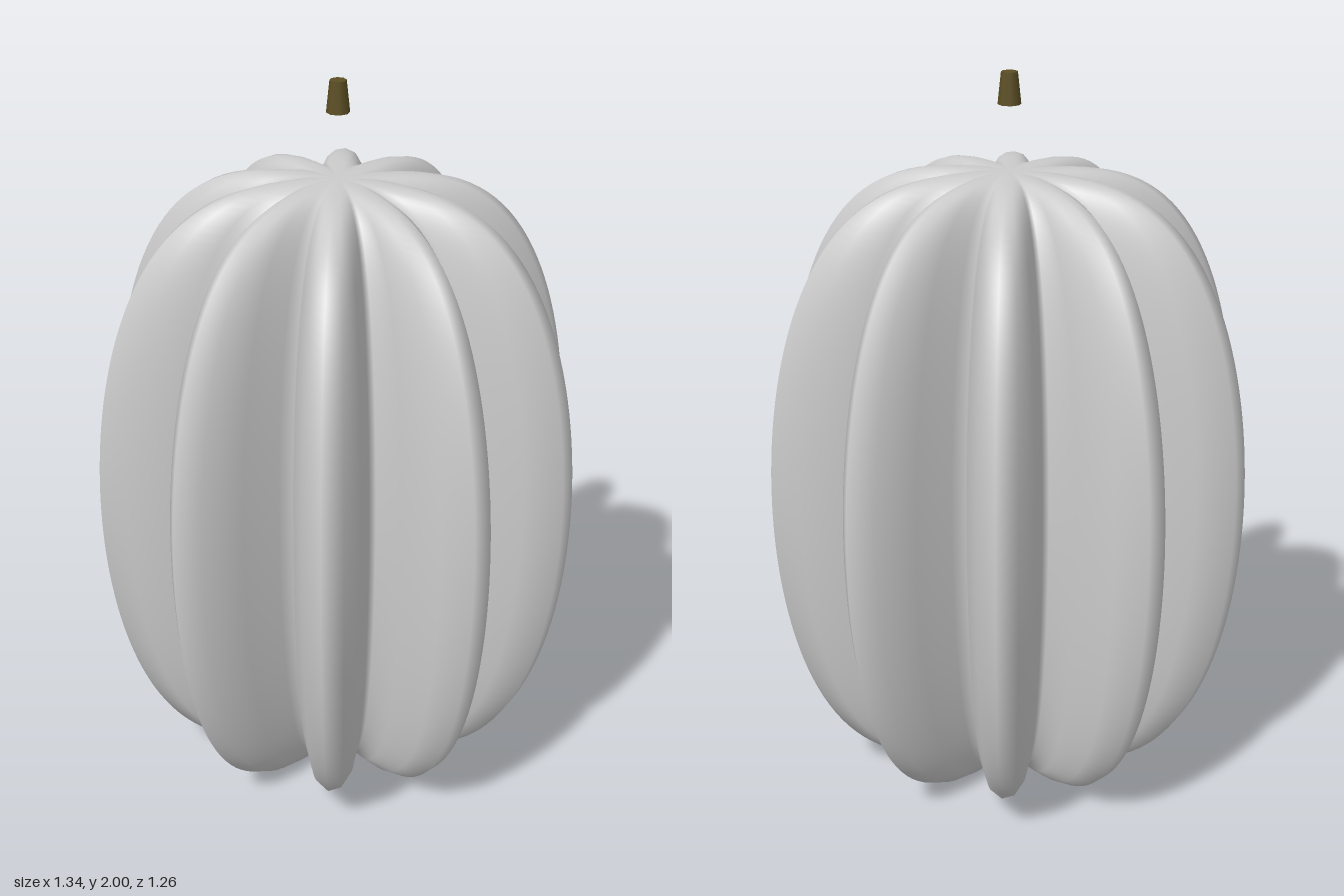
import * as THREE from 'three';
import { mergeVertices } from 'three/addons/utils/BufferGeometryUtils.js';

const LOBES = 10;
const VALLEY = 0.345; // radius in the grooves
const CREST = 0.67;   // radius on the ribs
const HALF_HEIGHT = 0.87;

// Ribbed shell: a sphere squared off at the poles and pinched into lobes
function ribbedBody() {
  let geo = new THREE.SphereGeometry(1, 72, 64);
  geo.deleteAttribute('uv');
  geo.deleteAttribute('normal');
  geo = mergeVertices(geo, 1e-5);
  const p = geo.attributes.position;
  for (let i = 0; i < p.count; i++) {
    const x = p.getX(i), y = p.getY(i), z = p.getZ(i);
    const angle = Math.atan2(z, x);
    const rib = Math.pow((1 + Math.cos(LOBES * angle)) / 2, 0.77);
    const ring = Math.pow(Math.hypot(x, z), 0.56);
    const r = ring * (VALLEY + (CREST - VALLEY) * rib);
    p.setXYZ(i, r * Math.cos(angle), HALF_HEIGHT * (1 + y), r * Math.sin(angle));
  }
  geo.computeVertexNormals();
  return geo;
}

export function createModel() {
  const skin = new THREE.MeshStandardMaterial({ color: 0xcccccc });
  skin.name = 'pale grey skin';
  const bark = new THREE.MeshStandardMaterial({ color: 0x5c4f24 });
  bark.name = 'dark olive stem';

  const group = new THREE.Group();
  group.name = 'ribbedGourd';

  const body = new THREE.Mesh(ribbedBody(), skin);
  body.name = 'body';
  group.add(body);

  // Small tapered stem floating above the crown
  const stem = new THREE.Mesh(new THREE.CylinderGeometry(0.022, 0.031, 0.084, 8), bark);
  stem.name = 'stem';
  stem.position.y = 1.958;
  group.add(stem);

  return group;
}
